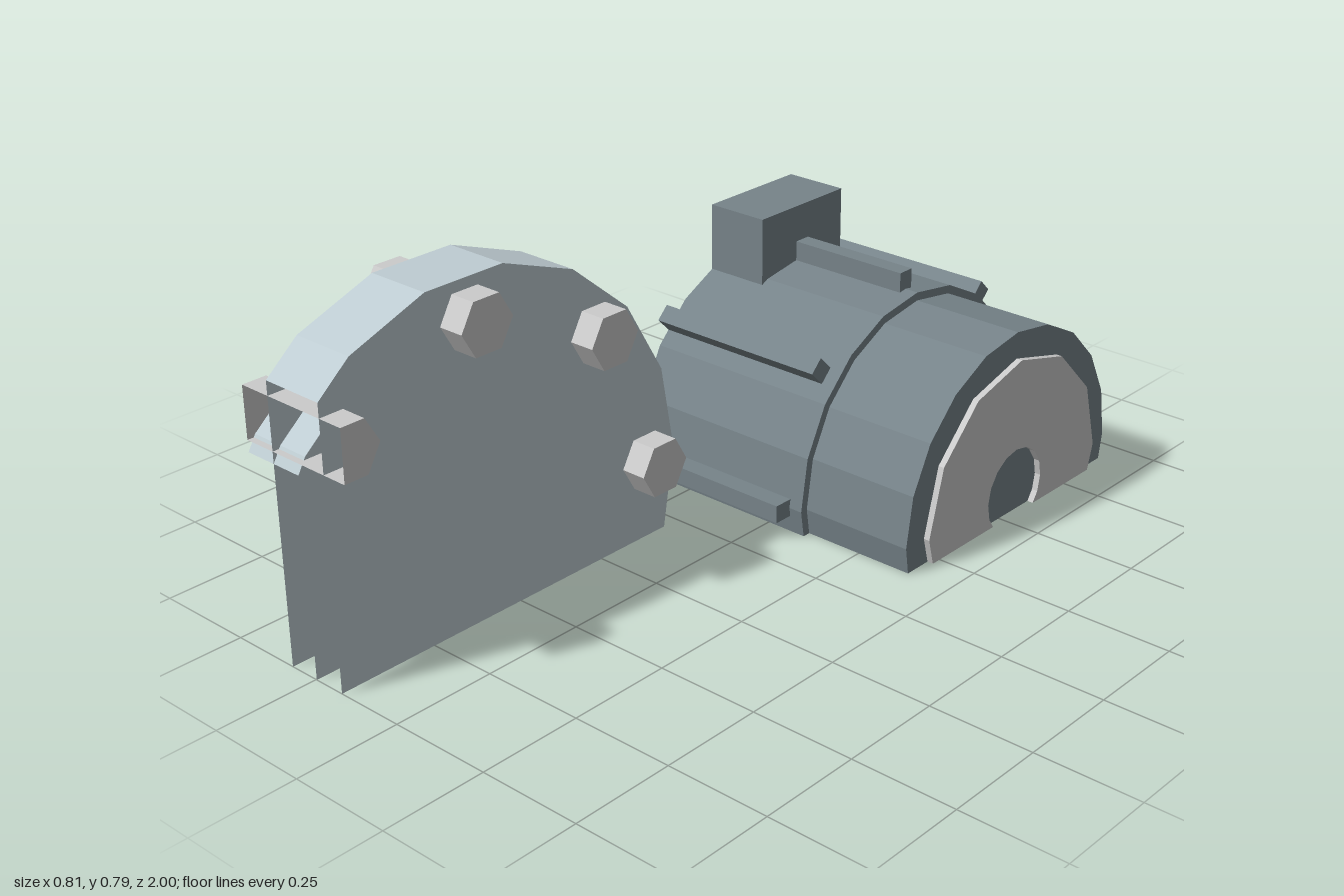
import * as THREE from 'three';

const GREY = 0xcccccc, PALE = 0xbfcdd3, DARK = 0x77848a;
const MOTOR = [-0.537, 0.065], DISC = [0.615, 0.195]; // axis positions as [z, y]

function material(color) {
  return new THREE.MeshStandardMaterial({ color, flatShading: true, side: THREE.DoubleSide });
}

// Regular polygon in the z/y plane
function polygon([cz, cy], r, sides, start = 0) {
  return Array.from({ length: sides }, (_, i) => {
    const a = start + (i / sides) * Math.PI * 2;
    return [cz + r * Math.cos(a), cy + r * Math.sin(a)];
  });
}

// Keep the side of an outline where dist(point) >= 0
function clip(pts, dist) {
  const out = [];
  pts.forEach((p, i) => {
    const q = pts[(i + 1) % pts.length], a = dist(p), b = dist(q);
    if (a >= 0) out.push(p);
    if (a * b < 0) {
      const t = a / (a - b);
      out.push([p[0] + (q[0] - p[0]) * t, p[1] + (q[1] - p[1]) * t]);
    }
  });
  return out;
}
const trim = (pts) => clip(clip(pts, (p) => p[1]), (p) => 1 - p[0]);

// Prism along x; walls on the two cutting planes stay open unless closed is set
function prism(name, color, pts, x0, x1, { back = true, front = true, closed = false } = {}) {
  const pos = [];
  const put = (x, p) => pos.push(x, p[1], p[0]);
  const onCut = (p, q) =>
    (Math.abs(p[1]) < 1e-6 && Math.abs(q[1]) < 1e-6) ||
    (Math.abs(p[0] - 1) < 1e-6 && Math.abs(q[0] - 1) < 1e-6);
  pts.forEach((p, i) => {
    const q = pts[(i + 1) % pts.length];
    if (!closed && onCut(p, q)) return;
    put(x0, p); put(x1, p); put(x1, q);
    put(x0, p); put(x1, q); put(x0, q);
  });
  const tris = THREE.ShapeUtils.triangulateShape(pts.map((p) => new THREE.Vector2(p[0], p[1])), []);
  for (const [a, b, c] of tris) {
    if (back) { put(x0, pts[a]); put(x0, pts[b]); put(x0, pts[c]); }
    if (front) { put(x1, pts[a]); put(x1, pts[c]); put(x1, pts[b]); }
  }
  const geo = new THREE.BufferGeometry();
  geo.setAttribute('position', new THREE.Float32BufferAttribute(pos, 3));
  geo.computeVertexNormals();
  const mesh = new THREE.Mesh(geo, material(color));
  mesh.name = name;
  return mesh;
}

// Upper arc of a polygon cut at y = 0, ordered from +z over the top to -z
function arch(centre, r, sides) {
  const pts = trim(polygon(centre, r, sides));
  const low = pts.findIndex((p, i) => p[1] < 1e-6 && p[0] > centre[0]);
  return [...pts.slice(low), ...pts.slice(0, low)];
}

function createMotor() {
  const motor = new THREE.Group();
  motor.name = 'motor';

  // Housing, open at the back, and the slightly narrower front body
  motor.add(prism('housing', DARK, arch(MOTOR, 0.415, 20), -0.405, 0.105, { back: false }));
  motor.add(prism('frontBody', DARK, arch(MOTOR, 0.395, 20), 0.105, 0.39, { closed: true }));

  // End plate with a round shaft opening
  const plate = [...arch(MOTOR, 0.33, 12), ...arch(MOTOR, 0.105, 16).reverse()];
  motor.add(prism('endPlate', GREY, plate, 0.39, 0.405));

  // Cooling fins every 45 degrees
  for (let i = 0; i <= 4; i++) {
    const fin = new THREE.Mesh(new THREE.BoxGeometry(0.475, 0.043, 0.08), material(DARK));
    const a = (i * Math.PI) / 4, r = 0.42;
    fin.name = 'coolingFin';
    fin.position.set(-0.1675, MOTOR[1] + r * Math.sin(a), MOTOR[0] + r * Math.cos(a));
    fin.rotation.x = -a;
    motor.add(fin);
  }

  // Terminal box on top
  const box = new THREE.Mesh(new THREE.BoxGeometry(0.16, 0.2, 0.295), material(DARK));
  box.name = 'terminalBox';
  box.position.set(-0.325, 0.515, MOTOR[0]);
  motor.add(box);
  return motor;
}

function createFlange() {
  const flange = new THREE.Group();
  flange.name = 'flange';

  // Main disc and the smaller collar, open at its back
  flange.add(prism('disc', PALE, trim(polygon(DISC, 0.605, 18)), -0.325, -0.168));
  flange.add(prism('collar', PALE, trim(polygon(DISC, 0.477, 18)), -0.405, -0.248, { back: false }));

  // Hexagonal bolts around the rim
  for (let i = 1; i <= 4; i++) {
    const a = (i * Math.PI) / 4, r = 0.51;
    const centre = [DISC[0] + r * Math.cos(a), DISC[1] + r * Math.sin(a)];
    flange.add(prism('bolt', GREY, trim(polygon(centre, 0.07, 6)), -0.405, -0.105));
  }
  return flange;
}

export function createModel() {
  const model = new THREE.Group();
  model.name = 'motorAndFlange';
  model.add(createMotor(), createFlange());
  return model;
}
